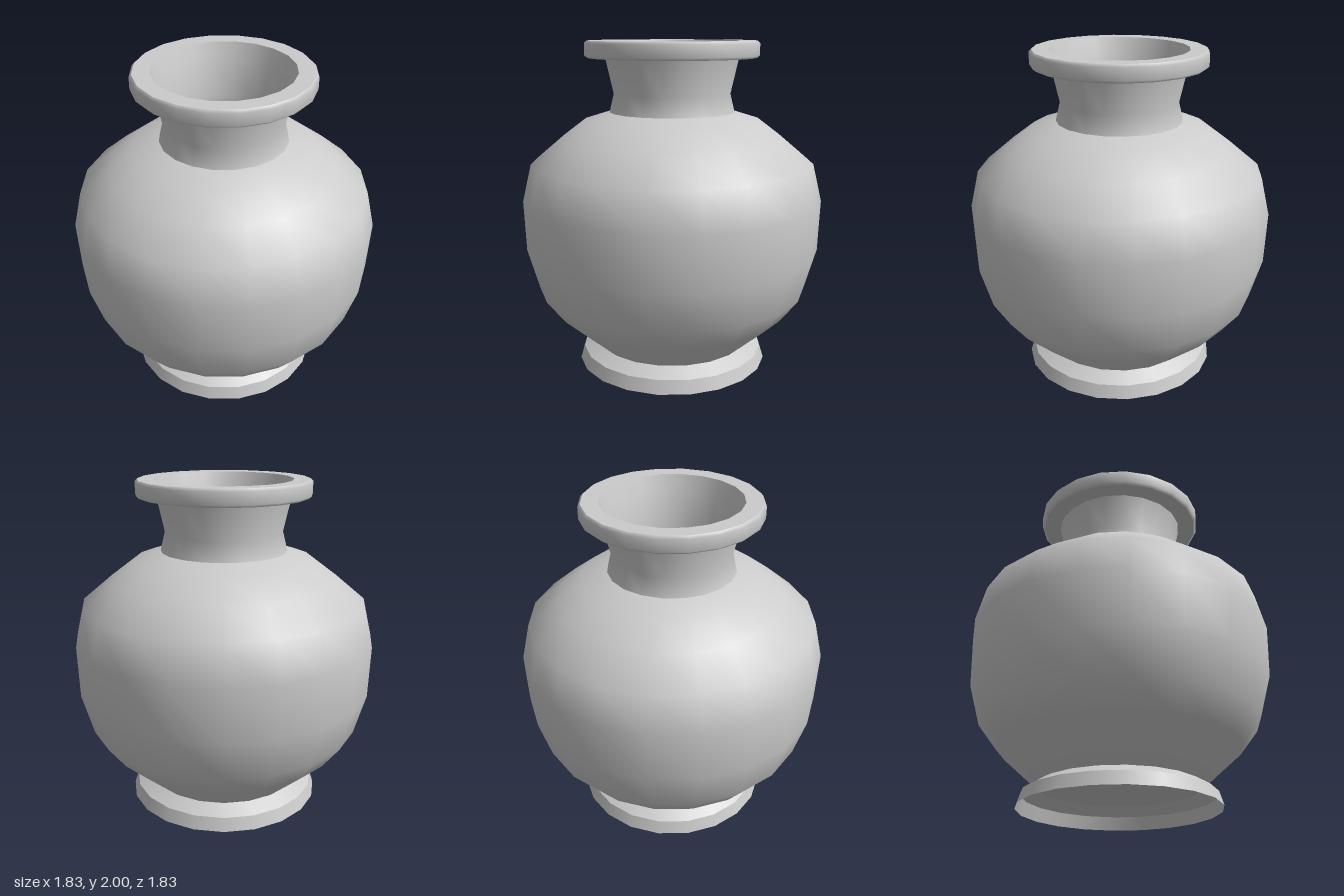
import * as THREE from 'three';

const SIDES = 20;

export function createModel() {
  const group = new THREE.Group();
  const material = new THREE.MeshStandardMaterial({ color: 0xcccccc, side: THREE.DoubleSide });

  // One smooth band of revolution; separate bands meet at a crisp edge.
  // Points are [radius, height], upwards for outer walls, downwards for inner ones.
  const band = (name, points) => {
    const profile = points.map(([r, y]) => new THREE.Vector2(r, y));
    const mesh = new THREE.Mesh(new THREE.LatheGeometry(profile, SIDES), material);
    mesh.name = name;
    group.add(mesh);
  };

  // Hollow flared foot
  band('footSide', [[0.595, 0], [0.57, 0.08]]);
  band('footShoulder', [[0.57, 0.08], [0.485, 0.13]]);

  // Round belly
  band('body', [
    [0.485, 0.13], [0.725, 0.345], [0.835, 0.49], [0.905, 0.74], [0.915, 1.05],
    [0.86, 1.275], [0.68, 1.425], [0.54, 1.53], [0.38, 1.58],
  ]);

  // Waisted neck
  band('neck', [[0.38, 1.58], [0.353, 1.69], [0.4, 1.9]]);

  // Thick lip with softened outer edges
  band('lipUnderside', [[0.4, 1.9], [0.505, 1.9]]);
  band('lipEdge', [[0.505, 1.9], [0.522, 1.915], [0.522, 1.985], [0.508, 2]]);
  band('lipTop', [[0.508, 2], [0.41, 2]]);

  // Inside of the neck and belly
  band('innerNeck', [[0.41, 2], [0.38, 1.9], [0.327, 1.69], [0.35, 1.57]]);
  band('innerBody', [
    [0.35, 1.57], [0.53, 1.505], [0.66, 1.405], [0.835, 1.26], [0.89, 1.05],
    [0.88, 0.74], [0.81, 0.5], [0.705, 0.36], [0.46, 0.13],
  ]);

  // Flat floor above the foot
  band('floor', [[0.485, 0.13], [0, 0.13]]);

  return group;
}
